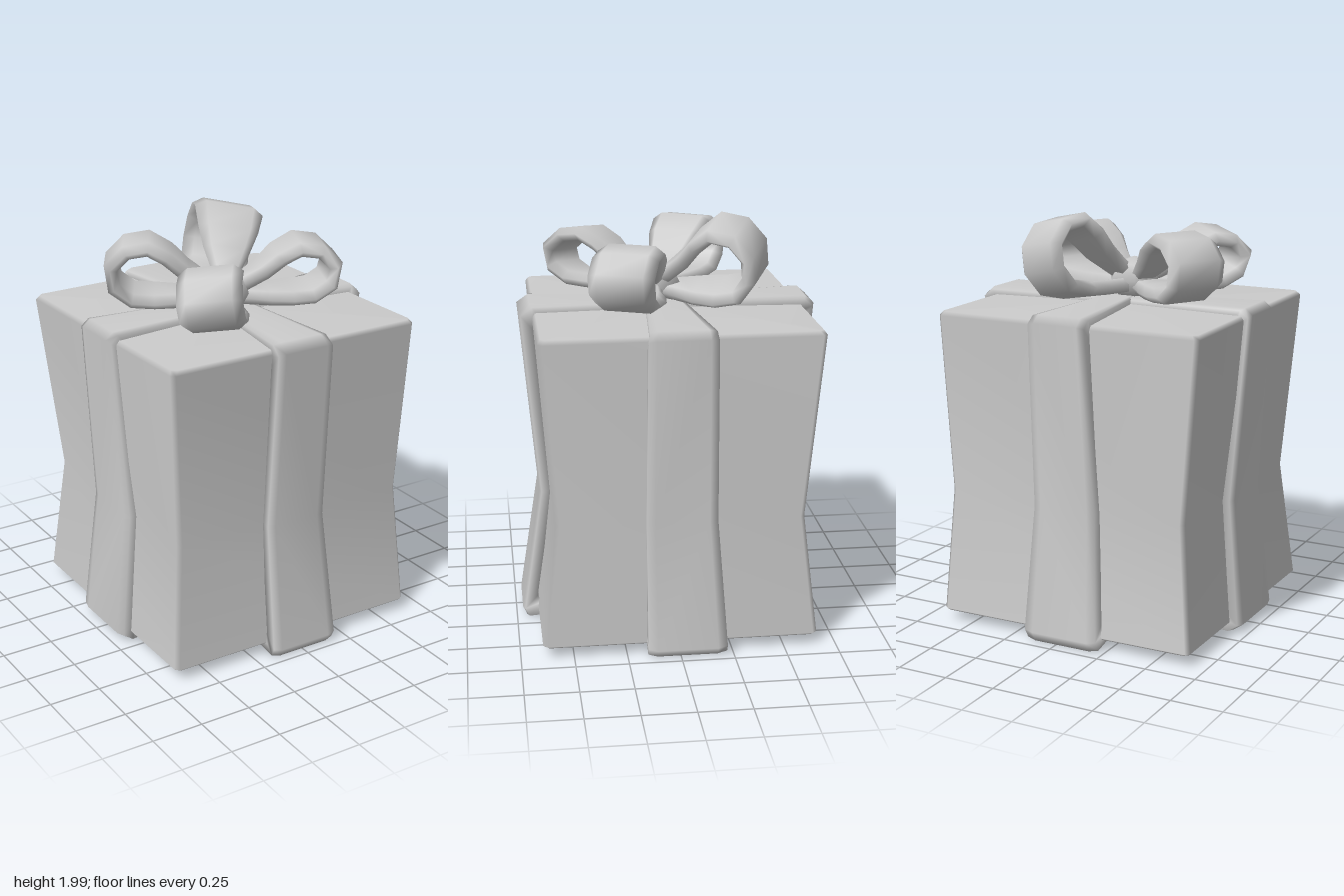
import * as THREE from 'three';

const material = new THREE.MeshStandardMaterial({ color: 0xcccccc });

// Skin a row of equal-length rings; either joined end to end or capped with fans.
function skin(rings, joined) {
  const n = rings[0].length, m = rings.length;
  const pts = rings.flat();
  const index = [];
  for (let i = 0; i < (joined ? m : m - 1); i++) {
    for (let j = 0; j < n; j++) {
      const a = i * n + j, b = i * n + (j + 1) % n;
      const c = ((i + 1) % m) * n + j, d = ((i + 1) % m) * n + (j + 1) % n;
      index.push(a, b, d, a, d, c);
    }
  }
  if (!joined) {
    for (const row of [0, m - 1]) {
      const mid = rings[row].reduce((s, p) => s.add(p), new THREE.Vector3()).divideScalar(n);
      const k = pts.push(mid) - 1;
      for (let j = 0; j < n; j++) {
        const a = row * n + j, b = row * n + (j + 1) % n;
        index.push(...(row ? [k, a, b] : [k, b, a]));
      }
    }
  }
  // Turn the faces outward if the enclosed volume comes out negative.
  let volume = 0;
  const cross = new THREE.Vector3();
  for (let i = 0; i < index.length; i += 3) {
    volume += pts[index[i]].dot(cross.crossVectors(pts[index[i + 1]], pts[index[i + 2]]));
  }
  if (volume < 0) index.reverse();
  const geometry = new THREE.BufferGeometry().setFromPoints(pts);
  geometry.setIndex(index);
  geometry.computeVertexNormals();
  return geometry;
}

function addMesh(parent, name, geometry) {
  const mesh = new THREE.Mesh(geometry, material);
  mesh.name = name;
  parent.add(mesh);
  return mesh;
}

// Pinched box: four corners per level, each corner slightly chamfered, softly shaded.
function boxGeometry() {
  const bottom = [[-0.67, -0.65], [0.65, -0.66], [0.655, 0.645], [-0.67, 0.645]];
  const waist = [[-0.61, -0.59], [0.63, -0.59], [0.63, 0.575], [-0.61, 0.575]];
  const top = [[-0.7, -0.65], [0.63, -0.675], [0.65, 0.64], [-0.67, 0.64]];
  const ring = (corners, y, inset) => corners.flatMap(([x, z], i) => {
    const c = 0.02;
    const px = x - Math.sign(x) * inset, pz = z - Math.sign(z) * inset;
    const alongX = new THREE.Vector3(px - Math.sign(x) * c, y, pz);
    const alongZ = new THREE.Vector3(px, y, pz - Math.sign(z) * c);
    return i % 2 ? [alongX, alongZ] : [alongZ, alongX];
  });
  return skin([
    ring(bottom, 0.06, 0.01), ring(bottom, 0.07, 0), ring(waist, 0.66, 0),
    ring(top, 1.53, 0), ring(top, 1.55, 0.015),
  ], false);
}

// Ribbon round the box: each station is [outward, y, edge low, edge high].
function ribbonGeometry(stations, place) {
  const rings = stations.map(([u, y, lo, hi]) => {
    const iu = u * 0.9, iy = 0.8 + (y - 0.8) * 0.9;
    const bu = u * 0.985, by = 0.8 + (y - 0.8) * 0.99;
    const e = (hi - lo) * 0.12;
    return [place(iu, iy, lo), place(bu, by, lo), place(u, y, lo + e),
      place(u, y, hi - e), place(bu, by, hi), place(iu, iy, hi)];
  });
  return skin(rings, true);
}

// Teardrop bow loop along +x: a padded band that widens away from the knot.
function loopGeometry(length, height, width) {
  const profile = [[0.02, 0.08], [0.32, 0.48], [0.63, 1], [0.87, 0.92],
    [1, 0.52], [0.86, 0.08], [0.5, 0], [0.02, 0]];
  const curve = new THREE.CatmullRomCurve3(
    profile.map(([r, h]) => new THREE.Vector3(r * length, h * height, 0)));
  const thick = 0.034, steps = 12, rings = [];
  for (let i = 0; i <= steps; i++) {
    const p = curve.getPointAt(i / steps), t = curve.getTangentAt(i / steps);
    const normal = new THREE.Vector3(-t.y, t.x, 0);
    const w = 0.05 + (width / 2 - 0.05) * THREE.MathUtils.smoothstep(p.x / length, 0, 0.65);
    rings.push([[-1, 0], [-0.7, 1], [0.7, 1], [1, 0], [0.7, -1], [-0.7, -1]].map(
      ([s, k]) => p.clone().addScaledVector(normal, k * thick).add(new THREE.Vector3(0, 0, s * w))));
  }
  return skin(rings, false);
}

export function createModel() {
  const group = new THREE.Group();
  group.name = 'giftBox';
  addMesh(group, 'box', boxGeometry());

  // Ribbon over the front, top, back and underside
  addMesh(group, 'frontBackRibbon', ribbonGeometry([
    [0, 1.578, -0.07, 0.09], [0.65, 1.585, -0.15, 0.135], [0.705, 1.545, -0.155, 0.14],
    [0.625, 0.66, -0.15, 0.16], [0.72, 0.05, -0.17, 0.18], [0.7, 0.01, -0.17, 0.18],
    [0, 0.03, -0.12, 0.12], [-0.69, 0.01, -0.22, 0.16], [-0.72, 0.06, -0.22, 0.16],
    [-0.645, 0.66, -0.18, 0.14], [-0.72, 1.55, -0.17, 0.12], [-0.68, 1.585, -0.17, 0.115],
  ], (u, y, s) => new THREE.Vector3(s, y, u)));

  // Ribbon over the two sides, top and underside
  addMesh(group, 'sideRibbon', ribbonGeometry([
    [0, 1.574, -0.09, 0.09], [0.66, 1.582, -0.165, 0.14], [0.7, 1.545, -0.17, 0.15],
    [0.645, 0.66, -0.18, 0.155], [0.72, 0.05, -0.22, 0.155], [0.7, 0.015, -0.22, 0.155],
    [0, 0.033, -0.12, 0.12], [-0.67, 0.015, -0.19, 0.21], [-0.72, 0.05, -0.19, 0.21],
    [-0.655, 0.66, -0.16, 0.18], [-0.718, 1.55, -0.13, 0.16], [-0.68, 1.582, -0.13, 0.16],
  ], (u, y, s) => new THREE.Vector3(u, y, s)));

  // Bow: four loops of differing size, as [name, end x, end z, height, width, roll]
  const bow = new THREE.Group();
  bow.name = 'bow';
  bow.position.set(-0.035, 1.625, 0.045);
  group.add(bow);
  const loops = [
    ['backLeftLoop', 0.225, -0.475, 0.325, 0.34, 0.2],
    ['backRightLoop', -0.465, -0.275, 0.255, 0.31, 0],
    ['frontLeftLoop', 0.485, 0.205, 0.235, 0.32, 0],
    ['frontRightLoop', -0.335, 0.445, 0.22, 0.3, 0.12],
  ];
  for (const [name, x, z, height, width, roll] of loops) {
    const loop = addMesh(bow, name, loopGeometry(Math.hypot(x, z), height, width));
    loop.rotation.set(roll, Math.atan2(-z, x), 0, 'YXZ');
  }

  // Faceted knot in the middle
  const knot = addMesh(bow, 'knot', new THREE.SphereGeometry(0.14, 6, 4));
  knot.scale.set(0.9, 0.75, 1);
  knot.position.y = 0.03;
  return group;
}
